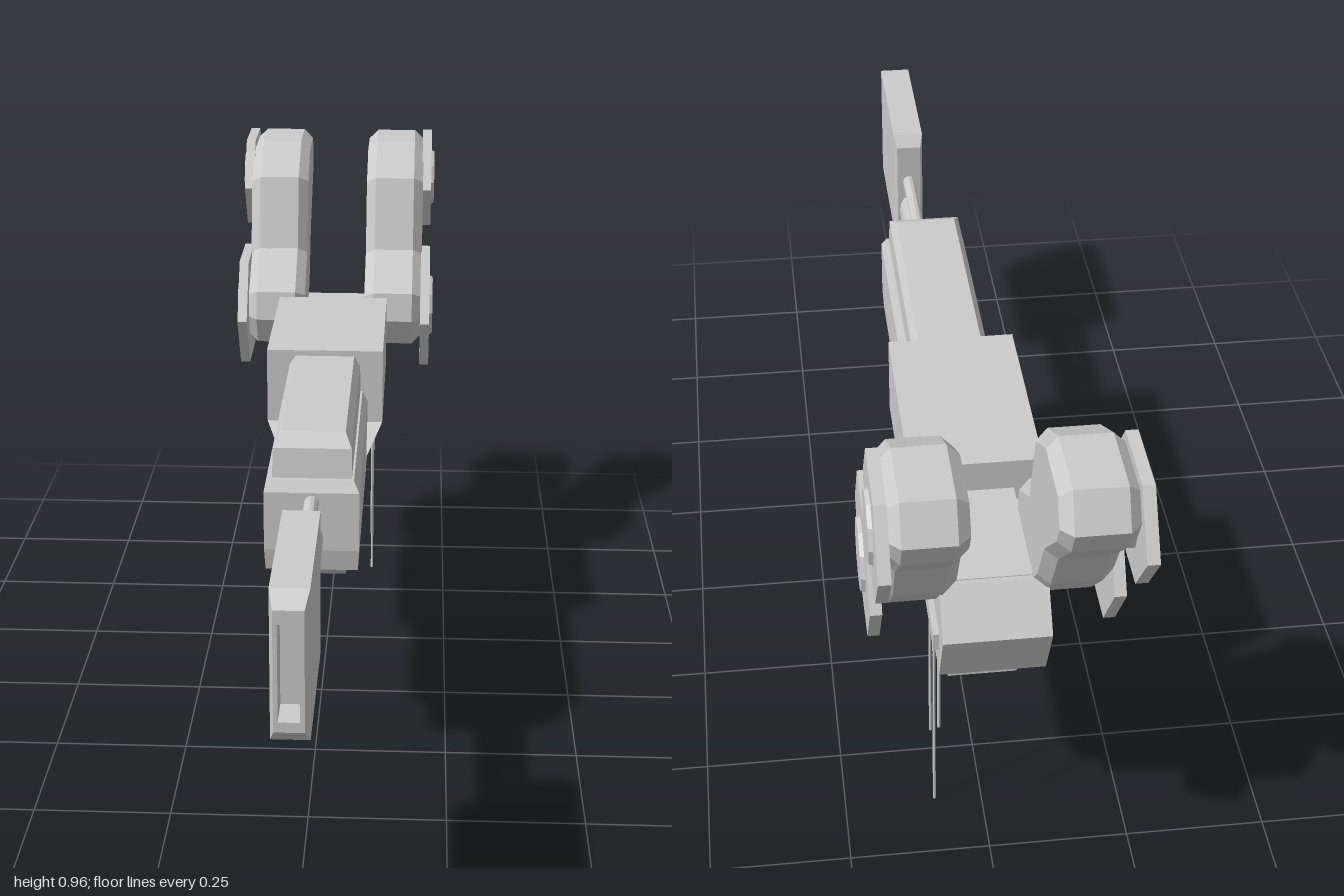
import * as THREE from 'three';

const grey = new THREE.MeshStandardMaterial({ color: 0xcccccc, flatShading: true });

function add(group, name, geometry) {
  const mesh = new THREE.Mesh(geometry, grey);
  mesh.name = name;
  group.add(mesh);
  return mesh;
}

// Skin a row of rings of corners and cap both ends
function loft(rings) {
  const pos = [];
  const tri = (...pts) => pts.forEach((p) => pos.push(...p));
  for (let i = 0; i < rings.length - 1; i++) {
    const a = rings[i], b = rings[i + 1], n = a.length;
    for (let j = 0; j < n; j++) {
      const k = (j + 1) % n;
      tri(a[j], a[k], b[k]);
      tri(a[j], b[k], b[j]);
    }
  }
  const first = rings[0], last = rings[rings.length - 1];
  for (let j = 1; j < first.length - 1; j++) {
    tri(first[0], first[j + 1], first[j]);
    tri(last[0], last[j], last[j + 1]);
  }
  const g = new THREE.BufferGeometry();
  g.setAttribute('position', new THREE.Float32BufferAttribute(pos, 3));
  g.computeVertexNormals();
  return g;
}

// Levels from bottom to top: [y, half width, back z, front z]
const stack = (levels) => loft(levels.map(([y, w, z0, z1]) =>
  [[-w, y, z1], [w, y, z1], [w, y, z0], [-w, y, z0]]));

// Sections from back to front: [z, half width, low y, high y]
const run = (sections) => loft(sections.map(([z, w, y0, y1]) =>
  [[-w, y0, z], [w, y0, z], [w, y1, z], [-w, y1, z]]));

// Side outline of [z, y] points, given a chamfered thickness along x
function plate(points, width, bevel, inset) {
  const shape = new THREE.Shape(points.map(([z, y]) => new THREE.Vector2(z, y)));
  const g = new THREE.ExtrudeGeometry(shape, {
    depth: width - 2 * bevel, bevelEnabled: bevel > 0, bevelThickness: bevel,
    bevelSize: inset, bevelOffset: -inset, bevelSegments: 1,
  });
  g.translate(0, 0, -(width - 2 * bevel) / 2);
  return g.rotateY(-Math.PI / 2);
}

function rod(group, name, r, z0, z1, y) {
  const g = new THREE.CylinderGeometry(r, r, z1 - z0, 12).rotateX(Math.PI / 2);
  add(group, name, g).position.set(0, y, (z0 + z1) / 2);
}

export function createModel() {
  const model = new THREE.Group();
  model.name = 'mechanicalArmUnit';

  // Hull
  add(model, 'mainBody', stack([
    [0.43, 0.083, -0.62, 0.365], [0.47, 0.085, -0.62, 0.372],
    [0.58, 0.085, -0.62, 0.372], [0.6, 0.075, -0.62, 0.36],
  ]));
  add(model, 'topCover', stack([
    [0.595, 0.071, -0.2, 0.352], [0.653, 0.07, -0.2, 0.342], [0.672, 0.058, -0.2, 0.305],
  ]));
  add(model, 'frontKeel', stack([[0.34, 0.055, -0.3, 0.18], [0.435, 0.062, -0.3, 0.295]]));
  add(model, 'rearKeel', stack([[0.303, 0.061, -0.62, -0.18], [0.435, 0.083, -0.62, -0.18]]));
  add(model, 'upperHousing', stack([
    [0.48, 0.085, -0.505, -0.075], [0.535, 0.115, -0.505, -0.13], [0.683, 0.115, -0.505, -0.13],
  ]));
  add(model, 'rearDeck', stack([[0.5, 0.07, -0.74, -0.45], [0.625, 0.066, -0.73, -0.45]]));
  add(model, 'rearHub', plate([
    [-0.6, 0.43], [-0.6, 0.6], [-0.74, 0.625], [-0.8, 0.55], [-0.745, 0.43],
  ], 0.18, 0, 0));

  // Front tool: two rods, a strut and a slotted chamfered head
  rod(model, 'upperRod', 0.013, 0.3, 0.68, 0.562);
  rod(model, 'lowerRod', 0.035, 0.3, 0.68, 0.49);
  model.children[model.children.length - 1].scale.x = 0.6;
  const strut = add(model, 'rodStrut', new THREE.BoxGeometry(0.016, 0.02, 0.06));
  strut.position.set(0, 0.537, 0.48);
  strut.rotation.x = 0.4;
  add(model, 'toolHead', run([
    [0.65, 0.025, 0.437, 0.645], [0.668, 0.031, 0.415, 0.668],
    [0.97, 0.031, 0.415, 0.668], [1, 0.024, 0.443, 0.645],
    [1, 0.017, 0.46, 0.622], [0.94, 0.017, 0.46, 0.622],
  ]));

  // Bent arms with hexagonal joint plates, mirrored
  const outline = [
    [-0.8, 0.96], [-0.7, 0.9], [-0.655, 0.75], [-0.55, 0.68], [-0.54, 0.62], [-0.575, 0.56],
    [-0.7, 0.56], [-0.785, 0.65], [-0.84, 0.75], [-0.94, 0.85], [-0.965, 0.9], [-0.93, 0.96],
  ];
  // [name, z, y, radius, height ratio, cap radius]
  const joints = [
    ['lower', -0.65, 0.627, 0.152, 0.87, 0.068],
    ['upper', -0.865, 0.866, 0.135, 0.81, 0.063],
  ];
  for (const [side, s] of [['left', 1], ['right', -1]]) {
    const arm = new THREE.Group();
    arm.name = side + 'Arm';
    add(arm, 'armBeam', plate(outline, 0.124, 0.02, 0.018)).position.x = s * 0.127;
    for (const [name, z, y, r, ratio, cap] of joints) {
      const hex = new THREE.CylinderGeometry(r, r, 0.02, 6).rotateZ(Math.PI / 2).scale(1, ratio, 1);
      add(arm, name + 'JointPlate', hex).position.set(s * 0.197, y, z);
      const disc = new THREE.CylinderGeometry(cap * 0.92, cap, 0.012, 10).rotateZ(-s * Math.PI / 2);
      add(arm, name + 'JointCap', disc).position.set(s * 0.208, y, z);
      const pin = new THREE.CylinderGeometry(cap, cap, 0.04, 10).rotateZ(Math.PI / 2);
      add(arm, name + 'JointPin', pin).position.set(s * 0.178, y, z);
    }
    model.add(arm);
  }

  // Antenna bar and its hanging rods on the left side
  add(model, 'antennaBar', new THREE.BoxGeometry(0.03, 0.033, 0.21)).position.set(0.085, 0.505, -0.64);
  for (const [z, low] of [[-0.56, 0.112], [-0.624, 0], [-0.7, 0.262]]) {
    const g = new THREE.CylinderGeometry(0.003, 0.003, 0.5 - low, 6);
    add(model, 'antenna', g).position.set(0.086, (0.5 + low) / 2, z);
  }
  return model;
}
